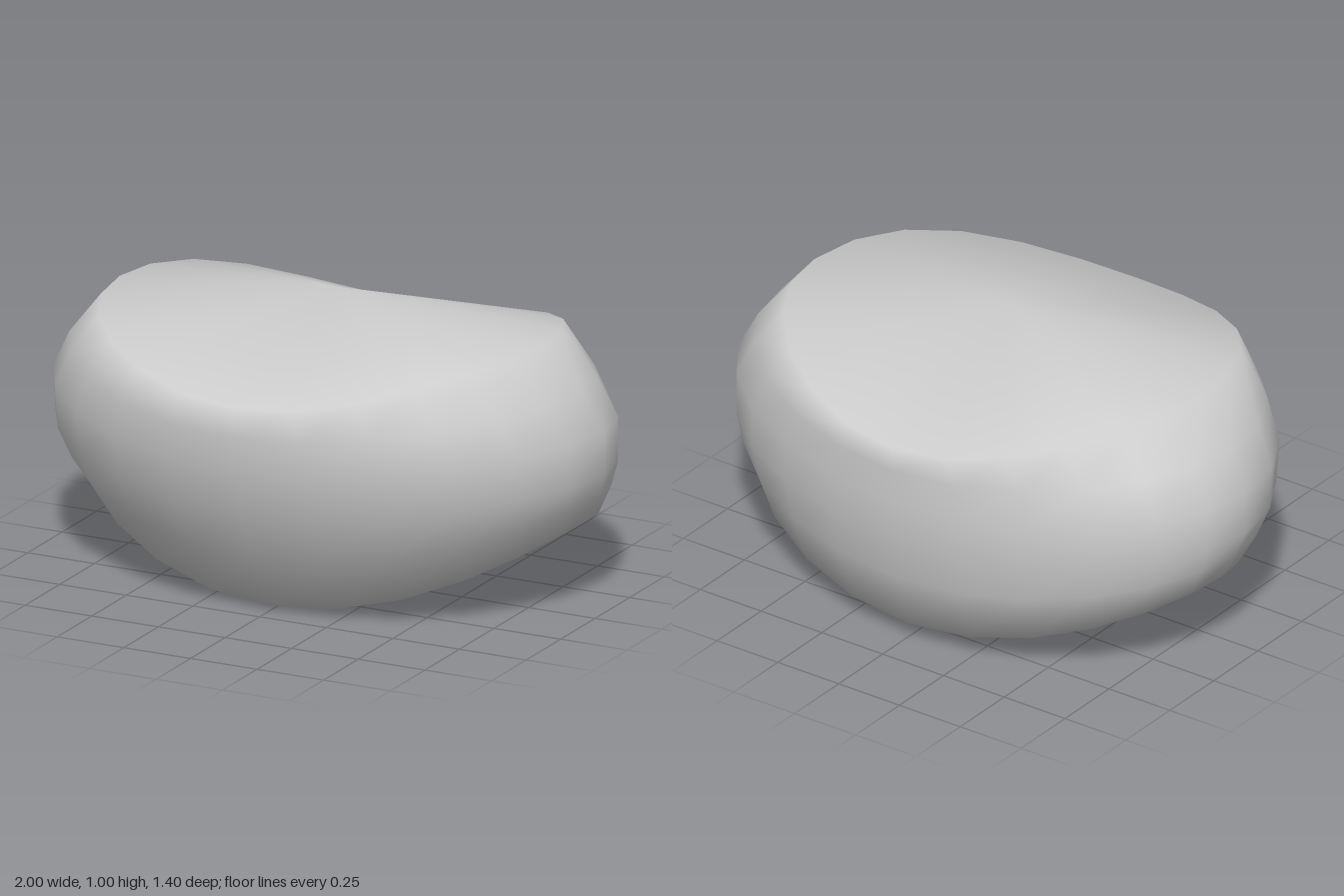
import * as THREE from 'three';

const SEGMENTS = 24;

// Rings from top to bottom: half width, height at the sides, z at the sides,
// front z and height, back z and height
const RINGS = [
  [0.80, 0.925, -0.03, 0.69, 0.79, -0.69, 0.76],
  [0.93, 0.77, -0.05, 0.70, 0.69, -0.695, 0.68],
  [1.00, 0.64, -0.07, 0.69, 0.56, -0.70, 0.56],
  [1.00, 0.49, -0.07, 0.65, 0.41, -0.70, 0.43],
  [0.97, 0.40, -0.09, 0.57, 0.23, -0.67, 0.26],
  [0.925, 0.31, -0.10, 0.42, 0.02, -0.61, 0.06],
];

// Point on an oval ring whose front and back dip below its sides
function ringPoint(ring, row, angle) {
  const [rx, sideY, sideZ, frontZ, frontY, backZ, backY] = ring;
  const s = Math.sin(angle), c = Math.cos(angle);
  const [endZ, endY] = c > 0 ? [frontZ, frontY] : [backZ, backY];
  const dip = Math.pow(Math.abs(c), 3 - 0.2 * row);
  return [
    rx * s,
    sideY + (endY - sideY) * dip,
    sideZ + (endZ - sideZ) * Math.abs(c),
  ];
}

function bodyGeometry() {
  const positions = [];
  const index = [];
  RINGS.forEach((ring, row) => {
    for (let i = 0; i < SEGMENTS; i++) {
      positions.push(...ringPoint(ring, row, (i / SEGMENTS) * Math.PI * 2));
    }
  });

  // Centres of the shallow top and bottom caps
  const top = positions.length / 3;
  positions.push(0, 1.01, -0.03);
  const bottom = top + 1;
  positions.push(0, 0.005, -0.1);

  const last = (RINGS.length - 1) * SEGMENTS;
  for (let i = 0; i < SEGMENTS; i++) {
    const j = (i + 1) % SEGMENTS;
    // Side wall
    for (let row = 0; row < RINGS.length - 1; row++) {
      const a = row * SEGMENTS + i, b = row * SEGMENTS + j;
      const c = a + SEGMENTS, d = b + SEGMENTS;
      index.push(a, c, b, b, c, d);
    }
    // Caps
    index.push(top, i, j);
    index.push(bottom, last + j, last + i);
  }

  const geometry = new THREE.BufferGeometry();
  geometry.setAttribute('position', new THREE.Float32BufferAttribute(positions, 3));
  geometry.setIndex(index);
  geometry.computeVertexNormals();
  return geometry;
}

export function createModel() {
  const group = new THREE.Group();
  group.name = 'roundedOvalBody';
  const body = new THREE.Mesh(
    bodyGeometry(),
    new THREE.MeshStandardMaterial({ color: 0xcccccc }),
  );
  body.name = 'body';
  group.add(body);
  return group;
}
